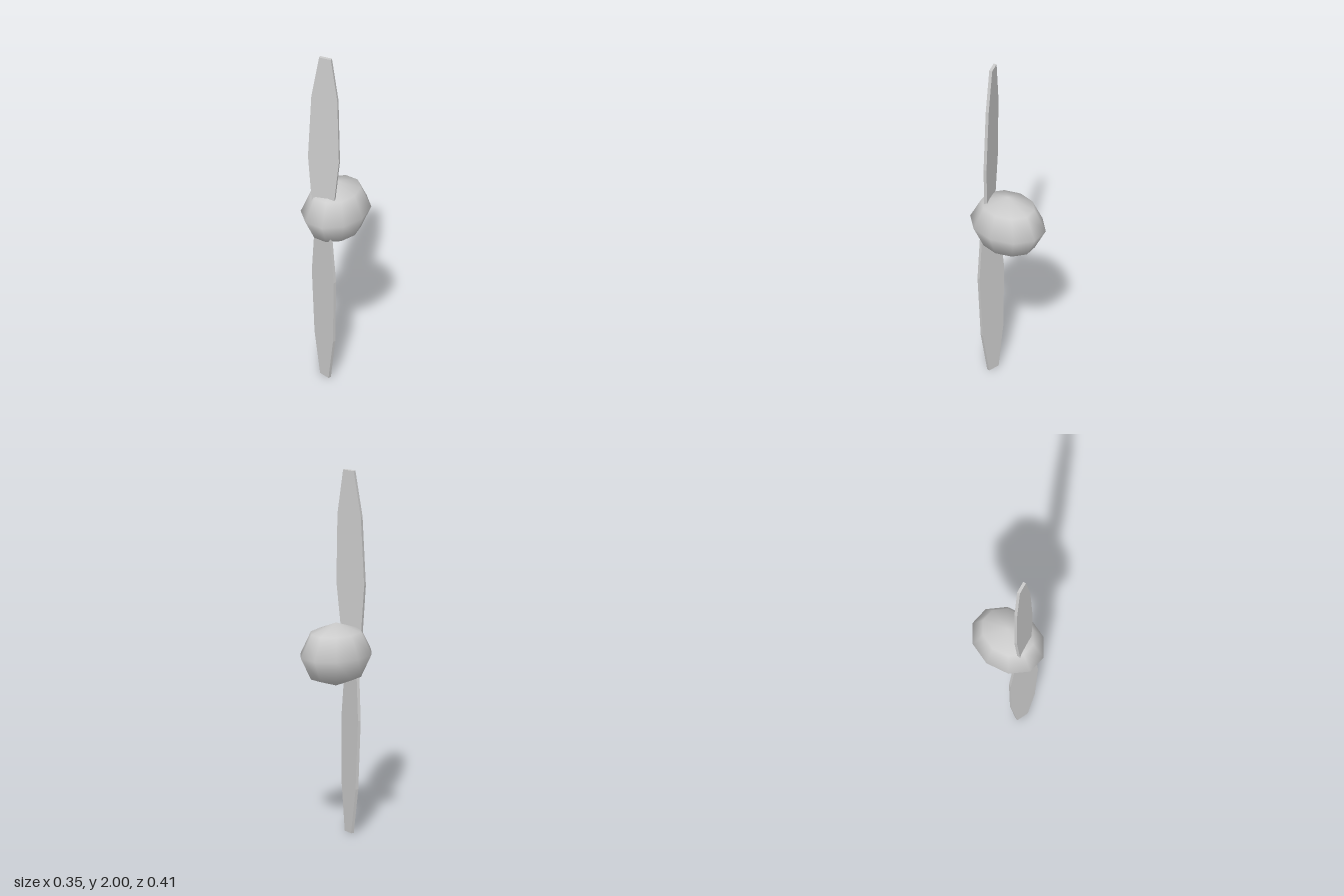
import * as THREE from 'three';

// Half-width of the blade at each distance from the hub axis
const BLADE_PROFILE = [[0.02, 0.056], [0.37, 0.089], [0.75, 0.075], [1, 0.034]];
const THICKNESS = 0.017;

function bladeGeometry() {
  const right = BLADE_PROFILE.map(([y, w]) => new THREE.Vector2(w, y));
  const left = BLADE_PROFILE.map(([y, w]) => new THREE.Vector2(-w, y)).reverse();
  const geo = new THREE.ExtrudeGeometry(new THREE.Shape([...right, ...left]), {
    depth: THICKNESS, bevelEnabled: false,
  });
  geo.translate(0, 0, -THICKNESS / 2);
  geo.rotateY(THREE.MathUtils.degToRad(13.5)); // blade pitch
  geo.rotateX(-0.022); // slight backward lean toward the tip
  geo.translate(0, 0, 0.119);
  return geo;
}

export function createModel() {
  const model = new THREE.Group();
  model.name = 'propeller';
  const metal = new THREE.MeshStandardMaterial({ color: 0xcccccc });
  metal.name = 'light grey metal';

  // Smooth low-poly hub, stretched front to back
  const hubGeo = new THREE.SphereGeometry(1, 10, 4);
  hubGeo.scale(0.174, 0.174, 0.218);
  const hub = new THREE.Mesh(hubGeo, metal);
  hub.name = 'hub';
  hub.position.y = 1;
  model.add(hub);

  // Two blades, half a turn apart
  const geo = bladeGeometry();
  ['upperBlade', 'lowerBlade'].forEach((name, i) => {
    const blade = new THREE.Mesh(geo, metal);
    blade.name = name;
    blade.position.y = 1;
    blade.rotation.z = i * Math.PI;
    model.add(blade);
  });

  return model;
}
